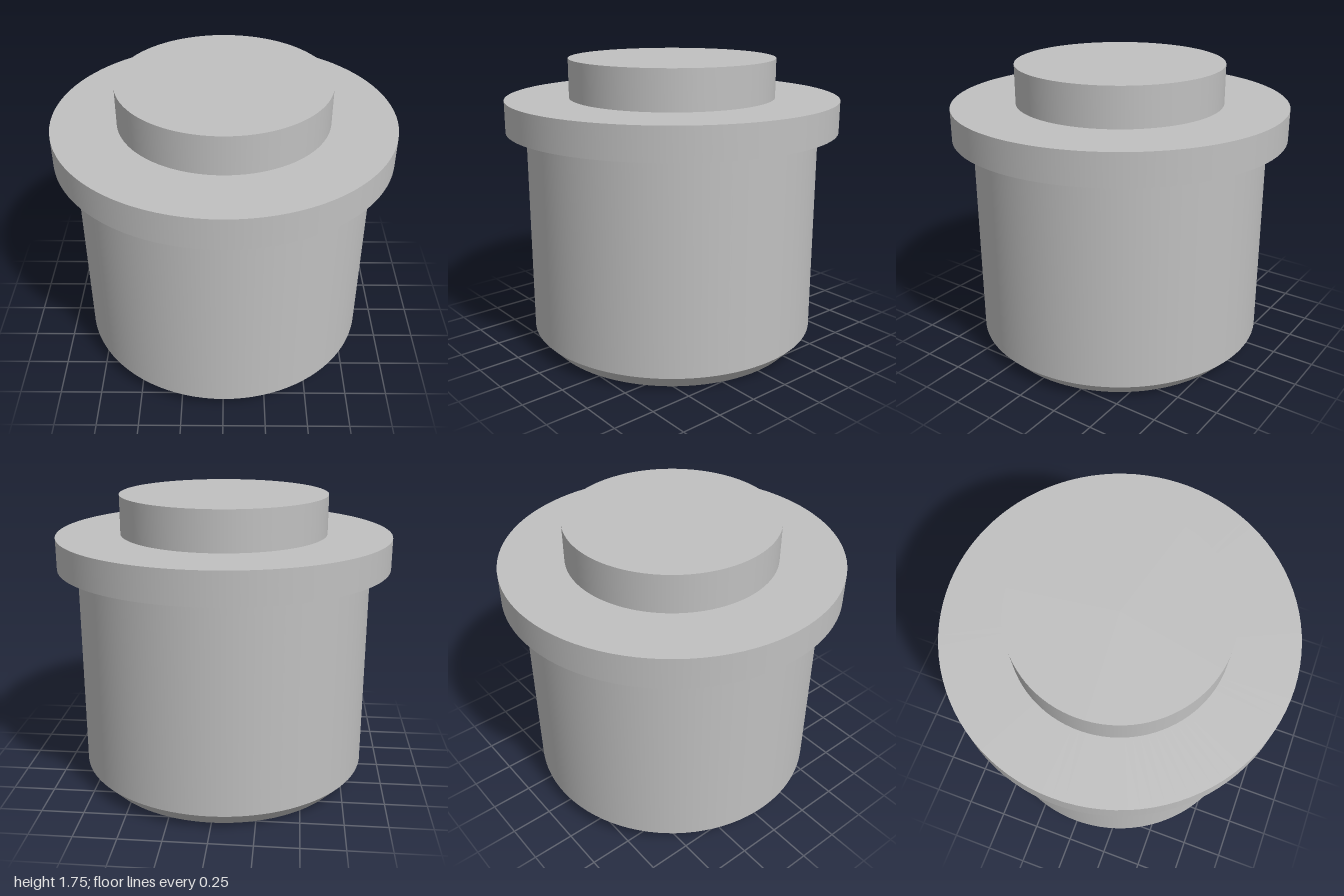
import * as THREE from 'three';
import { mergeGeometries } from 'three/addons/utils/BufferGeometryUtils.js';

const SEGMENTS = 96;

// Revolve each profile segment on its own so edges between them stay sharp
function turned(name, profile, material) {
  const bands = [];
  for (let i = 0; i < profile.length - 1; i++) {
    const pair = [profile[i], profile[i + 1]].map(([r, y]) => new THREE.Vector2(r, y));
    bands.push(new THREE.LatheGeometry(pair, SEGMENTS));
  }
  const mesh = new THREE.Mesh(mergeGeometries(bands), material);
  mesh.name = name;
  return mesh;
}

export function createModel() {
  const metal = new THREE.MeshStandardMaterial({ color: 0xc0c0c0 });
  metal.name = 'plain grey metal';

  const bottomRadius = 0.79, bodyRadius = 0.88, flangeRadius = 1, bossRadius = 0.62;
  const chamferTop = 0.095, bodyTop = 1.335, flangeTop = 1.522, bossTop = 1.755;

  const model = new THREE.Group();
  model.name = 'flangedPlug';
  model.add(
    // Main barrel with chamfered lower edge
    turned('body', [[0, 0], [bottomRadius, 0], [bodyRadius, chamferTop], [bodyRadius, bodyTop]], metal),
    // Wide collar, with underside and upper shoulder
    turned('flange', [[bodyRadius, bodyTop], [flangeRadius, bodyTop], [flangeRadius, flangeTop], [bossRadius, flangeTop]], metal),
    // Raised round boss on top
    turned('boss', [[bossRadius, flangeTop], [bossRadius, bossTop], [0, bossTop]], metal)
  );
  return model;
}
